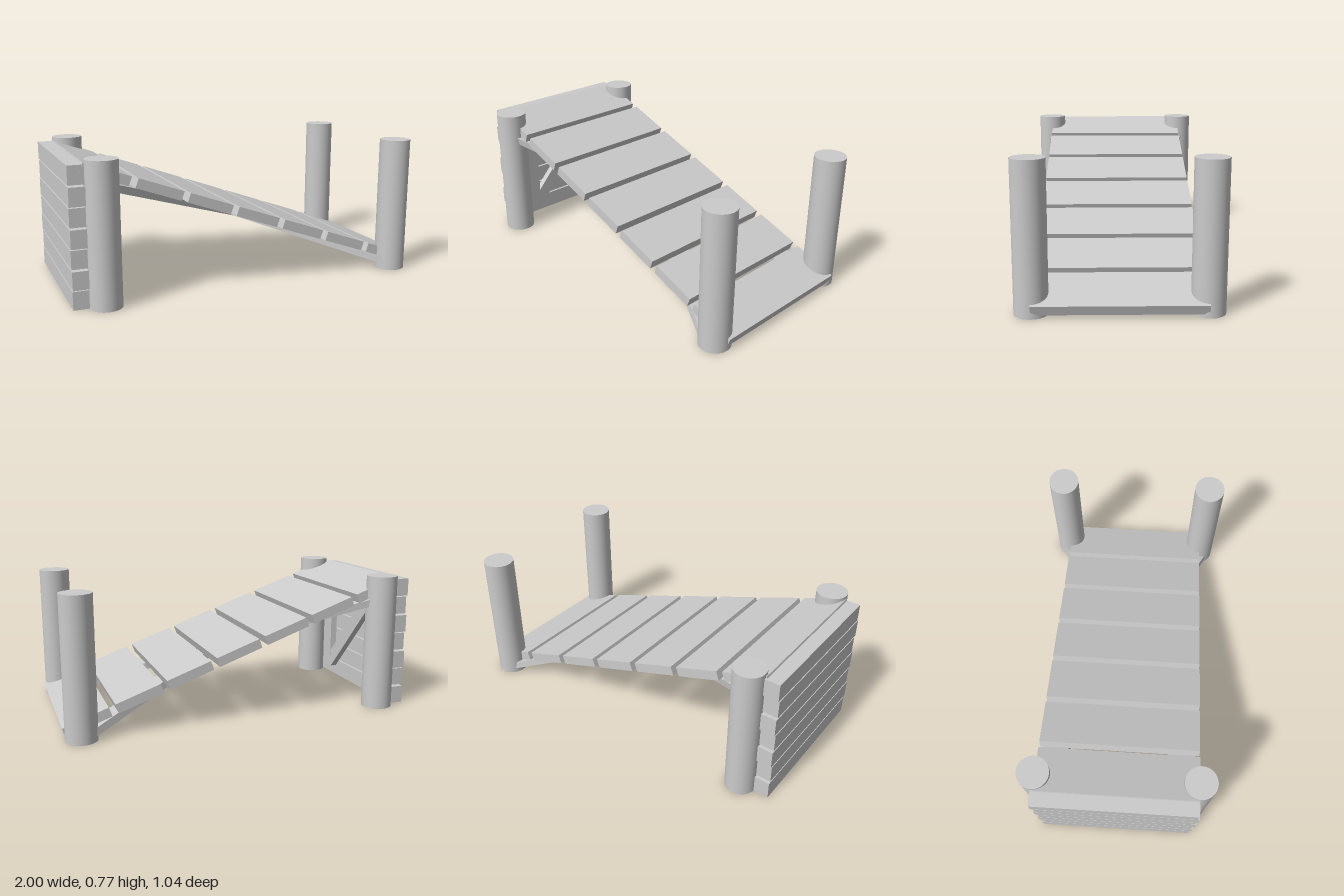
import * as THREE from 'three';

const material = new THREE.MeshStandardMaterial({ color: 0xcccccc });

function addBox(parent, name, size, position) {
  const mesh = new THREE.Mesh(new THREE.BoxGeometry(...size), material);
  mesh.name = name;
  mesh.position.set(...position);
  parent.add(mesh);
  return mesh;
}

export function createModel() {
  const model = new THREE.Group();
  model.name = 'plankRamp';

  // Four round corner posts
  const postGeometry = new THREE.CylinderGeometry(0.086, 0.086, 0.77, 40);
  for (const x of [-0.83, 0.902]) {
    for (const side of [-1, 1]) {
      const post = new THREE.Mesh(postGeometry, material);
      post.name = 'post';
      post.position.set(x, 0.385, side * 0.433);
      model.add(post);
    }
  }

  // Sloping deck: the group's x axis runs down the ramp, its y = 0 is the walking surface
  const ramp = new THREE.Group();
  ramp.name = 'ramp';
  ramp.position.set(0.04, 0.4125, 0);
  ramp.rotation.z = -Math.atan2(0.685, 1.92);
  model.add(ramp);
  const thickness = 0.053;
  for (let i = 0; i < 7; i++) {
    addBox(ramp, 'rampPlank', [0.26, thickness, 0.86], [(i - 3) * 0.2965, -thickness / 2, 0]);
  }

  // Crossed braces under the deck, reaching from post to opposite post
  for (const side of [-1, 1]) {
    const brace = addBox(ramp, 'rampBrace', [2.02, 0.04, 0.12], [0, -thickness - 0.02 - (side > 0 ? 0.004 : 0), 0]);
    brace.rotation.y = side * Math.atan2(0.435, 0.918);
  }

  // End wall of stacked boards, slightly staggered
  const wall = new THREE.Group();
  wall.name = 'endWall';
  model.add(wall);
  for (let i = 0; i < 7; i++) {
    addBox(wall, 'wallBoard', [0.085, 0.099, 0.87], [-0.9575, 0.05 + i * 0.1075, i % 2 ? 0.006 : -0.006]);
  }

  // Z-shaped bracing on the inner face of the wall
  for (const side of [-1, 1]) {
    addBox(wall, 'wallUpright', [0.04, 0.58, 0.09], [-0.895, 0.36, side * 0.28]);
  }
  const diagonal = addBox(wall, 'wallDiagonal', [0.038, 0.74, 0.08], [-0.895, 0.36, 0]);
  diagonal.rotation.x = -Math.atan2(0.5, 0.54);

  return model;
}
